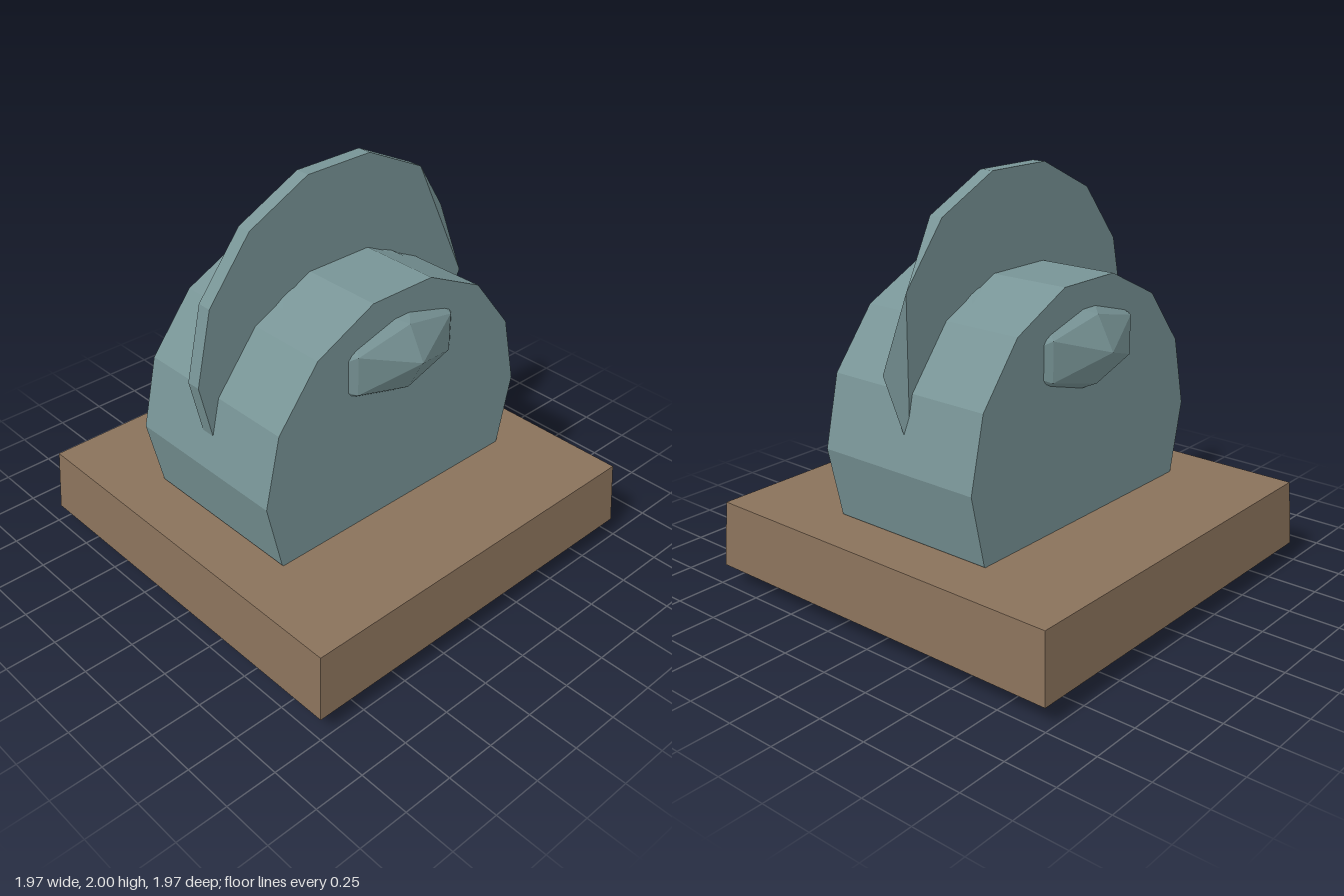
import * as THREE from 'three';

const SIDES = 14;

// Thin upright disc whose rim is chipped on its left edge: there the front and
// back outlines skip alternate corners, leaving a zigzag of facets.
function chippedDisc(radius, halfDepth) {
  const positions = [];
  for (const z of [halfDepth, -halfDepth]) {
    for (let i = 0; i < SIDES; i++) {
      const a = (i / SIDES) * Math.PI * 2;
      positions.push(radius * Math.cos(a), radius * Math.sin(a), z);
    }
  }
  positions.push(0, 0, halfDepth, 0, 0, -halfDepth);
  const front = (i) => {
    const k = i % SIDES;
    return k === 1 || k === SIDES - 1 ? 0 : k;
  };
  const back = (i) => SIDES + (i % SIDES === 0 ? 1 : i % SIDES);
  const index = [];
  const tri = (a, b, c) => {
    if (a !== b && b !== c && c !== a) index.push(a, b, c);
  };
  for (let i = 0; i < SIDES; i++) {
    const f0 = front(i), f1 = front(i + 1), b0 = back(i), b1 = back(i + 1);
    tri(2 * SIDES, f0, f1); // front face
    tri(2 * SIDES + 1, b1, b0); // back face
    if (i === SIDES - 2) { // rim, with the diagonal flipped below the chip
      tri(f0, b0, b1);
      tri(f0, b1, f1);
    } else {
      tri(f0, b0, f1);
      tri(f1, b0, b1);
    }
  }
  const indexed = new THREE.BufferGeometry();
  indexed.setAttribute('position', new THREE.Float32BufferAttribute(positions, 3));
  indexed.setIndex(index);
  const geometry = indexed.toNonIndexed();
  geometry.computeVertexNormals();
  return geometry;
}

// Faceted solid with true face normals
function faceted(geometry) {
  const g = geometry.index ? geometry.toNonIndexed() : geometry;
  g.computeVertexNormals();
  return g;
}

export function createModel() {
  const model = new THREE.Group();
  model.name = 'mountedDrum';

  const slate = new THREE.MeshStandardMaterial({ color: 0x789496 });
  slate.name = 'slate teal';
  const wood = new THREE.MeshStandardMaterial({ color: 0x8a725b });
  wood.name = 'wood brown';

  const add = (name, geometry, material, y) => {
    const mesh = new THREE.Mesh(geometry, material);
    mesh.name = name;
    mesh.position.y = y;
    model.add(mesh);
  };

  // Square plinth, slightly narrower at the top
  const plinth = new THREE.CylinderGeometry(0.967 * Math.SQRT2, 0.985 * Math.SQRT2, 0.325, 4);
  plinth.rotateY(Math.PI / 4);
  add('plinth', faceted(plinth), wood, 0.2575);

  // Wide drum lying front to back, sunk through the plinth
  const drum = new THREE.CylinderGeometry(0.79, 0.79, 0.87, SIDES, 1, false, Math.PI / 2);
  drum.rotateX(Math.PI / 2);
  add('drum', faceted(drum), slate, 0.77);

  // Thin raised fin around the middle
  add('fin', chippedDisc(0.815, 0.035), slate, 1.205);

  // Flattened boulder-like hub showing at front, back and just through the top
  const hub = new THREE.IcosahedronGeometry(1, 1);
  hub.scale(0.57, 0.304, 0.57);
  add('hub', faceted(hub), slate, 1.235);

  return model;
}
